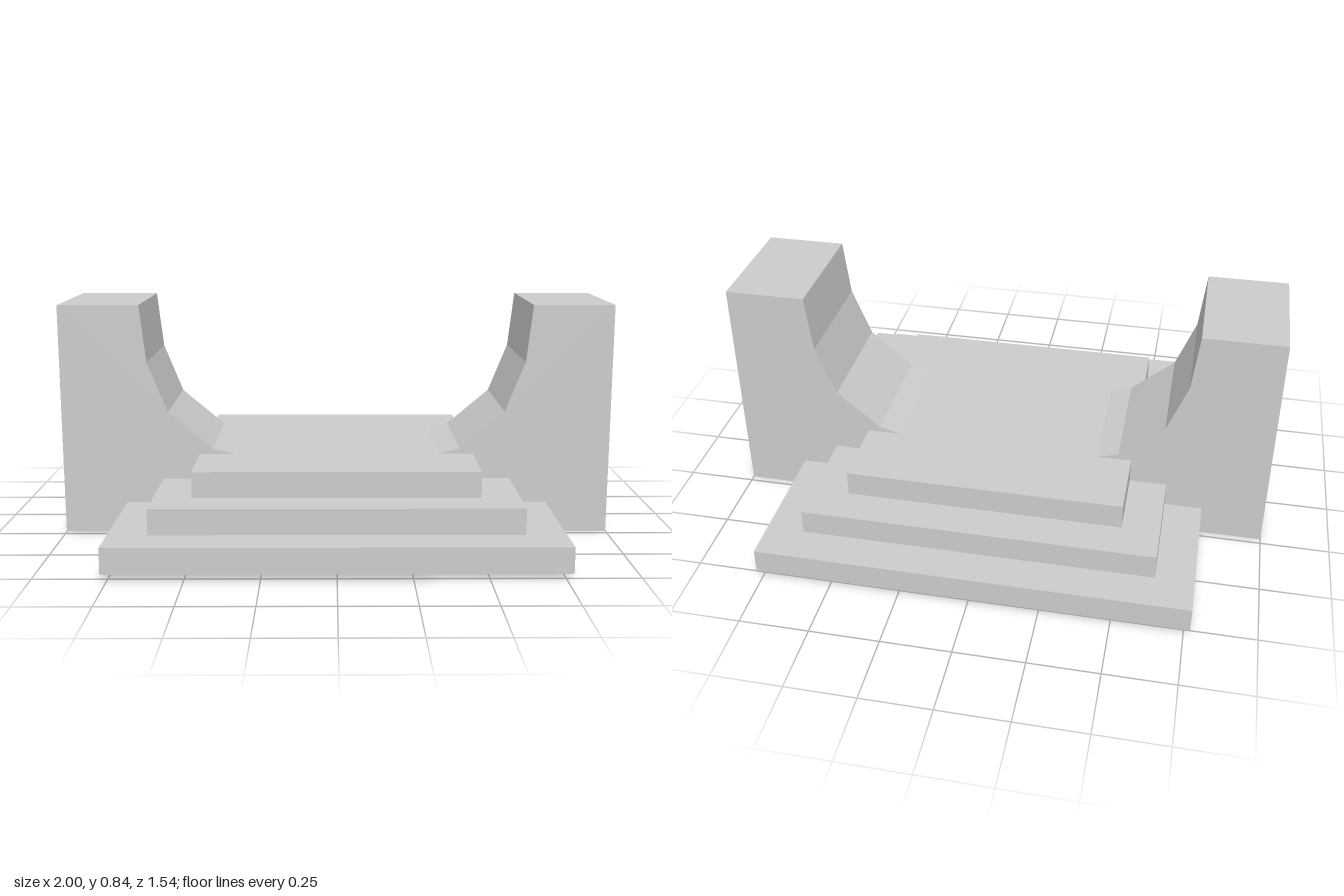
import * as THREE from 'three';

const material = new THREE.MeshStandardMaterial({ color: 0xcccccc, flatShading: true });

export function createModel() {
  const model = new THREE.Group();

  // Three square steps, stacked and narrowing upwards
  const bottoms = [0.022, 0.113, 0.204, 0.296];
  [1.544, 1.27, 1.0].forEach((width, i) => {
    const height = bottoms[i + 1] - bottoms[i];
    const step = new THREE.Mesh(new THREE.BoxGeometry(width, height, width), material);
    step.name = `step${i + 1}`;
    step.position.y = bottoms[i] + height / 2;
    model.add(step);
  });

  // Upright side blocks whose inner face sweeps down into the top step
  const profile = [
    [0.275, 0], [1, 0], [1, 0.842], [0.708, 0.842],
    [0.685, 0.635], [0.613, 0.453], [0.452, 0.316], [0.275, 0.27],
  ];
  const depth = 0.454;
  for (const side of [1, -1]) {
    const shape = new THREE.Shape(profile.map(([x, y]) => new THREE.Vector2(side * x, y)));
    const geometry = new THREE.ExtrudeGeometry(shape, { depth, bevelEnabled: false });
    geometry.translate(0, 0, -depth / 2);
    const block = new THREE.Mesh(geometry, material);
    block.name = side > 0 ? 'leftSideBlock' : 'rightSideBlock';
    model.add(block);
  }

  return model;
}
